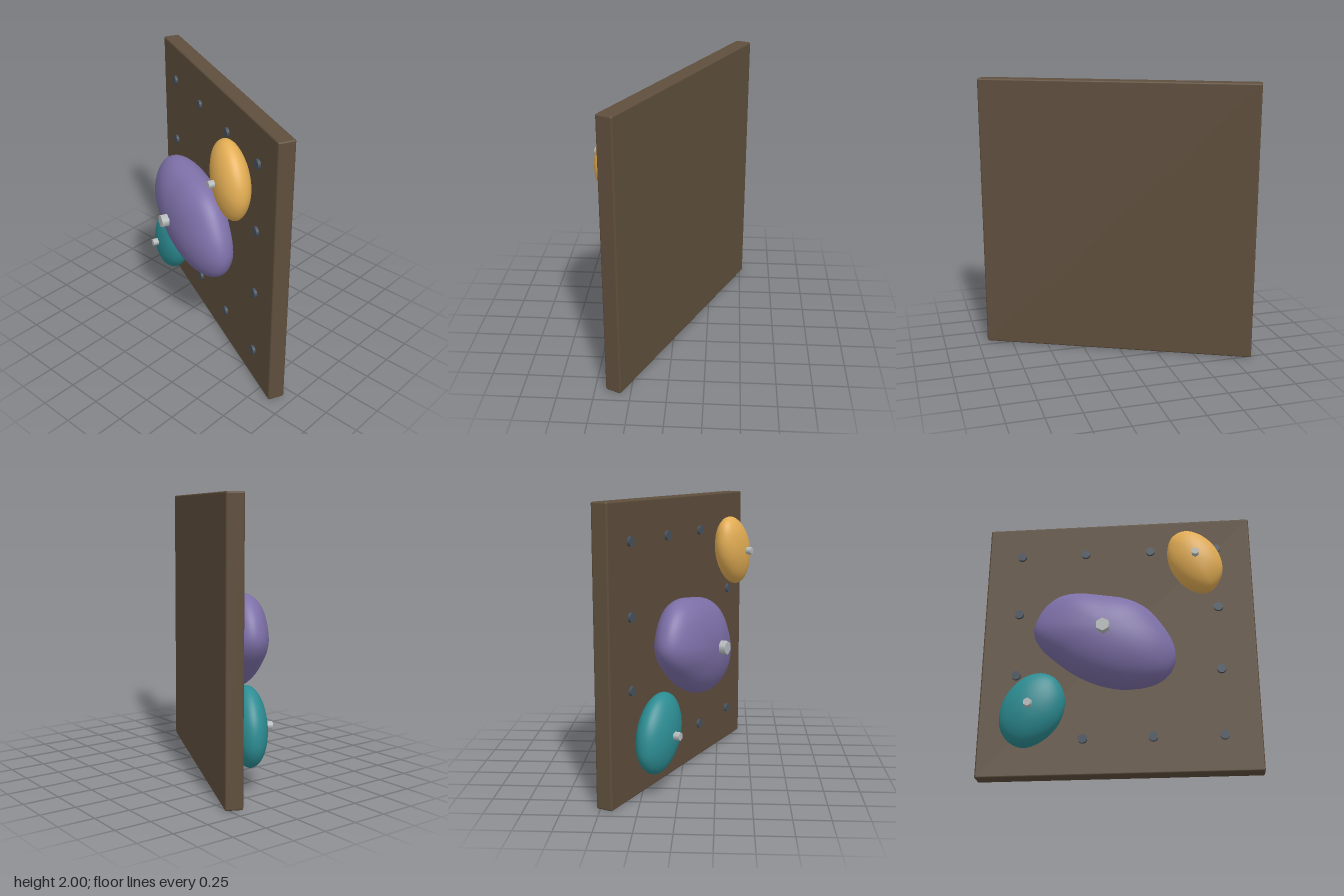
import * as THREE from 'three';
import { mergeVertices } from 'three/addons/utils/BufferGeometryUtils.js';
import { RoundedBoxGeometry } from 'three/addons/geometries/RoundedBoxGeometry.js';

const mat = (name, color) => new THREE.MeshStandardMaterial({ name, color });
const FACE = 0.06; // front face of the panel

// Closed smooth blob: a sphere whose equator follows an outline, domed by depth
function blobGeometry(outline, depth, stretch, slope) {
  const pts = outline.map(([x, y]) => new THREE.Vector3(x * stretch, y, 0)).reverse();
  const curve = new THREE.CatmullRomCurve3(pts, true);
  let geo = new THREE.SphereGeometry(1, 72, 36);
  geo.rotateX(Math.PI / 2);
  const pos = geo.attributes.position, uv = geo.attributes.uv;
  for (let i = 0; i < pos.count; i++) {
    const s = Math.hypot(pos.getX(i), pos.getY(i));
    const p = curve.getPoint(((uv.getX(i) % 1) + 1) % 1);
    pos.setXYZ(i, p.x * s, p.y * s, pos.getZ(i) * depth + p.x * s * slope);
  }
  geo.deleteAttribute('uv');
  geo.deleteAttribute('normal');
  geo = mergeVertices(geo, 1e-5);
  geo.computeVertexNormals();
  return geo;
}

// Cylinder standing out along z
function peg(name, material, radius, z0, z1, sides) {
  const geo = new THREE.CylinderGeometry(radius, radius, z1 - z0, sides);
  geo.rotateX(Math.PI / 2);
  geo.translate(0, 0, (z0 + z1) / 2);
  const mesh = new THREE.Mesh(geo, material);
  mesh.name = name;
  return mesh;
}

export function createModel() {
  const model = new THREE.Group();
  model.name = 'climbingWallPanel';
  const wall = new THREE.Group();
  wall.name = 'wall';
  wall.position.set(0, 1, -0.05);
  wall.rotation.y = -THREE.MathUtils.degToRad(25);
  model.add(wall);

  const brown = mat('panel brown', 0x5e4e3c);
  const slate = mat('insert slate', 0x47525d);
  const steel = mat('bolt steel', 0xb8bcbe);

  // Panel
  const panel = new THREE.Mesh(new RoundedBoxGeometry(2, 2, 0.12, 3, 0.012), brown);
  panel.name = 'panel';
  wall.add(panel);

  // Threaded inserts around the border, except under the lower hold
  const grid = [-0.74, -0.247, 0.247, 0.74];
  grid.forEach((x, i) => grid.forEach((y, j) => {
    const inner = i % 3 !== 0 && j % 3 !== 0;
    if (inner || (i === 0 && j === 0)) return;
    const insert = peg('insert', slate, 0.033, FACE - 0.01, FACE + 0.02, 20);
    insert.position.set(x, y, 0);
    wall.add(insert);
  }));

  // Holds, each fixed with a hex bolt
  const holds = [
    {
      name: 'largeHold', material: mat('hold purple', 0x7d70a8),
      at: [-0.072, -0.045, 0.19], depth: 0.21, stretch: 1.08, slope: -0.07, bolt: 0.05, tip: 0.26,
      outline: [[-0.48, 0.06], [-0.44, 0.2], [-0.34, 0.32], [-0.22, 0.36], [-0.03, 0.345], [0.15, 0.31],
        [0.27, 0.24], [0.365, 0.12], [0.44, -0.03], [0.455, -0.155], [0.41, -0.27], [0.31, -0.345],
        [0.13, -0.377], [-0.03, -0.35], [-0.19, -0.275], [-0.32, -0.175], [-0.44, -0.05]],
    },
    {
      name: 'lowerHold', material: mat('hold teal', 0x2c8c92),
      at: [-0.592, -0.56, 0.185], depth: 0.125, stretch: 1.07, slope: 0, bolt: 0.03, tip: 0.167,
      outline: [[-0.21, -0.06], [-0.19, 0.065], [-0.127, 0.175], [-0.03, 0.255], [0.07, 0.27],
        [0.153, 0.228], [0.206, 0.13], [0.217, 0.026], [0.185, -0.095], [0.116, -0.19],
        [0.02, -0.255], [-0.06, -0.27], [-0.143, -0.228], [-0.196, -0.148]],
    },
    {
      name: 'upperHold', material: mat('hold amber', 0xe2ad54),
      at: [0.584, 0.57, 0.183], depth: 0.118, stretch: 1.07, slope: 0, bolt: 0.028, tip: 0.158,
      outline: [[-0.193, 0.08], [-0.167, 0.196], [-0.103, 0.25], [-0.035, 0.255], [0.05, 0.212],
        [0.124, 0.132], [0.172, 0.027], [0.183, -0.085], [0.15, -0.185], [0.093, -0.25],
        [0.03, -0.26], [-0.05, -0.222], [-0.124, -0.143], [-0.177, -0.037]],
    },
  ];
  for (const h of holds) {
    const group = new THREE.Group();
    group.name = h.name;
    group.position.set(...h.at);
    const body = new THREE.Mesh(blobGeometry(h.outline, h.depth, h.stretch, h.slope), h.material);
    body.name = 'holdBody';
    group.add(body, peg('bolt', steel, h.bolt, h.depth - 0.03, h.tip, 6));
    wall.add(group);
  }
  return model;
}
